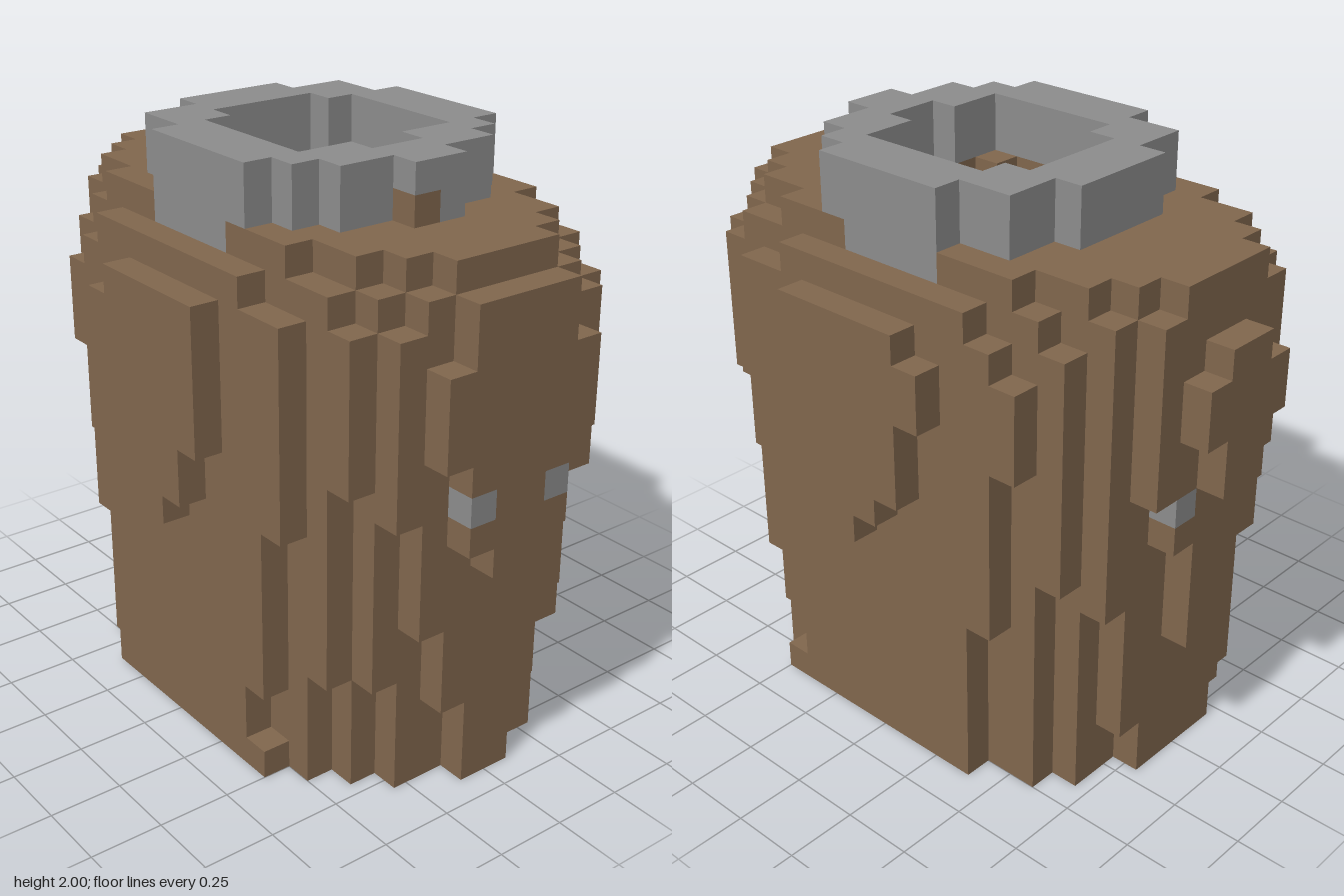
import * as THREE from 'three';

const U = 0.1; // block size
const brown = new THREE.MeshStandardMaterial({ color: 0x80664d });
brown.name = 'brown leather';
const grey = new THREE.MeshStandardMaterial({ color: 0x8c8c8c });
grey.name = 'grey metal';

// Outer shell: for each depth row (0 = middle, 6 = front and back),
// the right and left edge as steps [from height, edge], and its top and bottom.
const ROWS = [
  { right: [[0, 9], [8, 10], [17, 9]], left: [[0, -8], [5, -9], [11, -10], [16, -9]] },
  { right: [[0, 8], [3, 9], [9, 10], [17, 9]], left: [[0, -8], [9, -9], [13, -10], [15, -9]] },
  { right: [[0, 8], [6, 9], [12, 10], [15, 9], [17, 8]], left: [[0, -7], [2, -8], [11, -9], [17, -8]] },
  { right: [[0, 7], [4, 8], [10, 9], [16, 8], [17, 7]], left: [[0, -7], [7, -8], [17, -7]] },
  { right: [[0, 6], [4, 7], [11, 8], [16, 7], [17, 5]], left: [[0, -6], [8, -7], [16, -6], [17, -5]] },
  { right: [[0, 5], [1, 4], [3, 5], [9, 6], [16, 4]], left: [[0, -4], [6, -5], [12, -6], [15, -5], [16, -4]], top: 17 },
  { right: [[8, 1], [9, 2], [11, 3]], left: [[8, 0], [9, -1], [10, -2], [13, -3], [15, -2]], bottom: 8, top: 16 },
];
const edge = (steps, y) => steps.filter((s) => s[0] <= y).pop()[1];

// Collar ring outline and hole, per depth row
const RING = [[-5, 6], [-5, 5], [-4, 5], [-4, 4], [-2, 3]];
const HOLE = [[-3, 4], [-3, 3], [-2, 3]];
// Hollow inside of the shell, per depth row
const CAVITY = [[-6, 7], [-6, 6], [-5, 6], [-4, 5]];

const within = (span, x) => span !== undefined && x >= span[0] && x < span[1];

// Names the part that fills block (x, y, z), or null where empty
function partAt(x, y, z) {
  const k = z >= 0 ? z : -1 - z;
  if (k > 6 || y < 0 || y > 19) return null;
  if (y >= 18) {
    if (!within(RING[k], x) || within(HOLE[k], x)) return null;
    return y === 18 && x === 5 && z === 0 ? 'body' : 'collar';
  }
  const row = ROWS[k];
  if (y < (row.bottom ?? 0) || y >= (row.top ?? 18)) return null;
  const x0 = edge(row.left, y), x1 = edge(row.right, y);
  if (x < x0 || x >= x1) return null;
  if (y < 16 && within(CAVITY[k], x)) return null;
  if (y >= 16) {
    const ledge = y === 17 && ((k === 0 && x === 3) || (k === 2 && x === 2));
    if (within([-3, 3], x) && k < 3 && !(k === 2 && (x === -3 || x === 2))) return null;
    if (k === 0 && x === 3 && !ledge) return null;
  }
  if (y === 17 && k === 4 && x >= -2 && x < 2) return 'collar';
  if (y === 10 && k === 1 && (x === x0 || x === x1 - 1)) return 'rivets';
  return 'body';
}

// Collect the exposed block faces of each part
function buildPart(name, material) {
  const pos = [], nor = [], index = [];
  for (let x = -10; x < 10; x++) for (let y = 0; y < 20; y++) for (let z = -7; z < 7; z++) {
    if (partAt(x, y, z) !== name) continue;
    for (let axis = 0; axis < 3; axis++) for (const s of [-1, 1]) {
      const n = [0, 0, 0];
      n[axis] = s;
      if (partAt(x + n[0], y + n[1], z + n[2])) continue;
      const u = (axis + 1) % 3, v = (axis + 2) % 3, b = pos.length / 3;
      for (const [du, dv] of [[0, 0], [1, 0], [1, 1], [0, 1]]) {
        const p = [x, y, z];
        p[axis] += s > 0 ? 1 : 0;
        p[u] += du;
        p[v] += dv;
        pos.push(p[0] * U, p[1] * U, p[2] * U);
        nor.push(...n);
      }
      if (s > 0) index.push(b, b + 1, b + 2, b, b + 2, b + 3);
      else index.push(b, b + 2, b + 1, b, b + 3, b + 2);
    }
  }
  const geometry = new THREE.BufferGeometry();
  geometry.setAttribute('position', new THREE.Float32BufferAttribute(pos, 3));
  geometry.setAttribute('normal', new THREE.Float32BufferAttribute(nor, 3));
  geometry.setIndex(index);
  const mesh = new THREE.Mesh(geometry, material);
  mesh.name = name;
  return mesh;
}

export function createModel() {
  const model = new THREE.Group();
  model.name = 'blockTorso';
  model.add(buildPart('body', brown), buildPart('collar', grey), buildPart('rivets', grey));
  return model;
}
